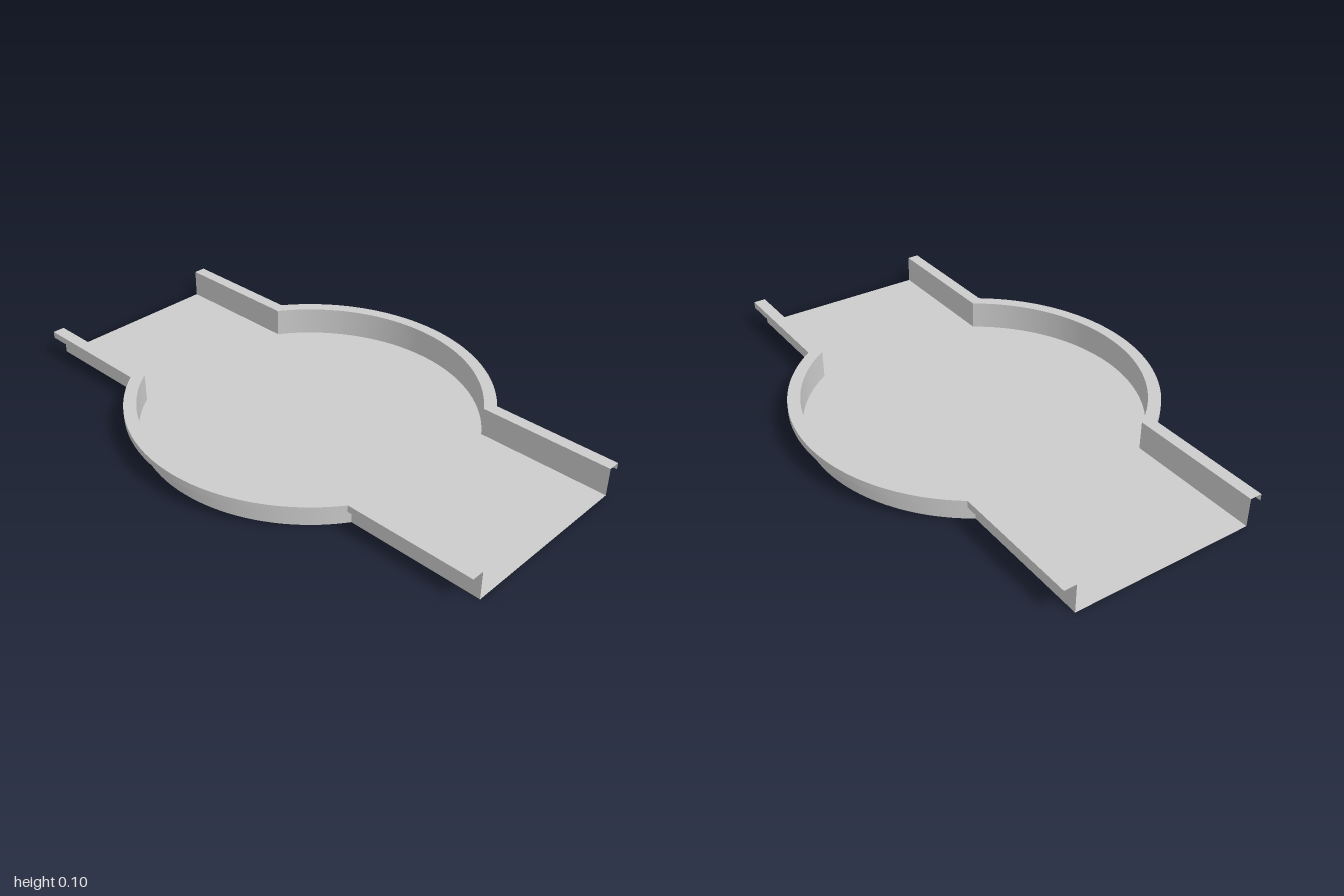
import * as THREE from 'three';
import { toCreasedNormals } from 'three/addons/utils/BufferGeometryUtils.js';

const WALL = { x: 0.335, r: 0.605 };   // channel wall outline
const RIM = { x: 0.38, r: 0.65 };      // outer edge of the flange
const TOP = 0.105, LIP = 0.08, SEGMENTS = 48;

// One side of the outline, front to back: straight, round bulge, straight
function sidePath({ x, r }, side) {
  const a = Math.acos(x / r);
  const points = [new THREE.Vector2(side * x, 1)];
  for (let i = 0; i <= SEGMENTS; i++) {
    const t = a - (2 * a * i) / SEGMENTS;
    points.push(new THREE.Vector2(side * r * Math.cos(t), r * Math.sin(t)));
  }
  points.push(new THREE.Vector2(side * x, -1));
  return points;
}

// Sheet stretched between two paths, each at its own height
function strip(pathA, yA, pathB, yB, side) {
  const positions = [], index = [];
  pathA.forEach((p, i) => {
    const q = pathB[i];
    positions.push(p.x, yA, p.y, q.x, yB, q.y);
    if (i === 0) return;
    const k = 2 * i - 2;
    if (side > 0) index.push(k, k + 1, k + 2, k + 1, k + 3, k + 2);
    else index.push(k, k + 2, k + 1, k + 1, k + 2, k + 3);
  });
  const geometry = new THREE.BufferGeometry();
  geometry.setAttribute('position', new THREE.Float32BufferAttribute(positions, 3));
  geometry.setIndex(index);
  return toCreasedNormals(geometry, 0.5);
}

export function createModel() {
  const group = new THREE.Group();
  const material = new THREE.MeshStandardMaterial({ color: 0xcccccc, side: THREE.DoubleSide });
  const add = (name, geometry) => {
    const mesh = new THREE.Mesh(geometry, material);
    mesh.name = name;
    group.add(mesh);
  };

  // Flat floor with the full channel outline
  const outline = new THREE.Shape([...sidePath(WALL, 1), ...sidePath(WALL, -1).reverse()]);
  add('floor', new THREE.ShapeGeometry(outline).rotateX(-Math.PI / 2));

  // Wall, outward flange and short hanging lip on both sides
  for (const [label, side] of [['left', 1], ['right', -1]]) {
    const wall = sidePath(WALL, side), rim = sidePath(RIM, side);
    add(label + 'Wall', strip(wall, 0, wall, TOP, side));
    add(label + 'Flange', strip(wall, TOP, rim, TOP, side));
    add(label + 'Lip', strip(rim, TOP, rim, LIP, side));
  }
  return group;
}
